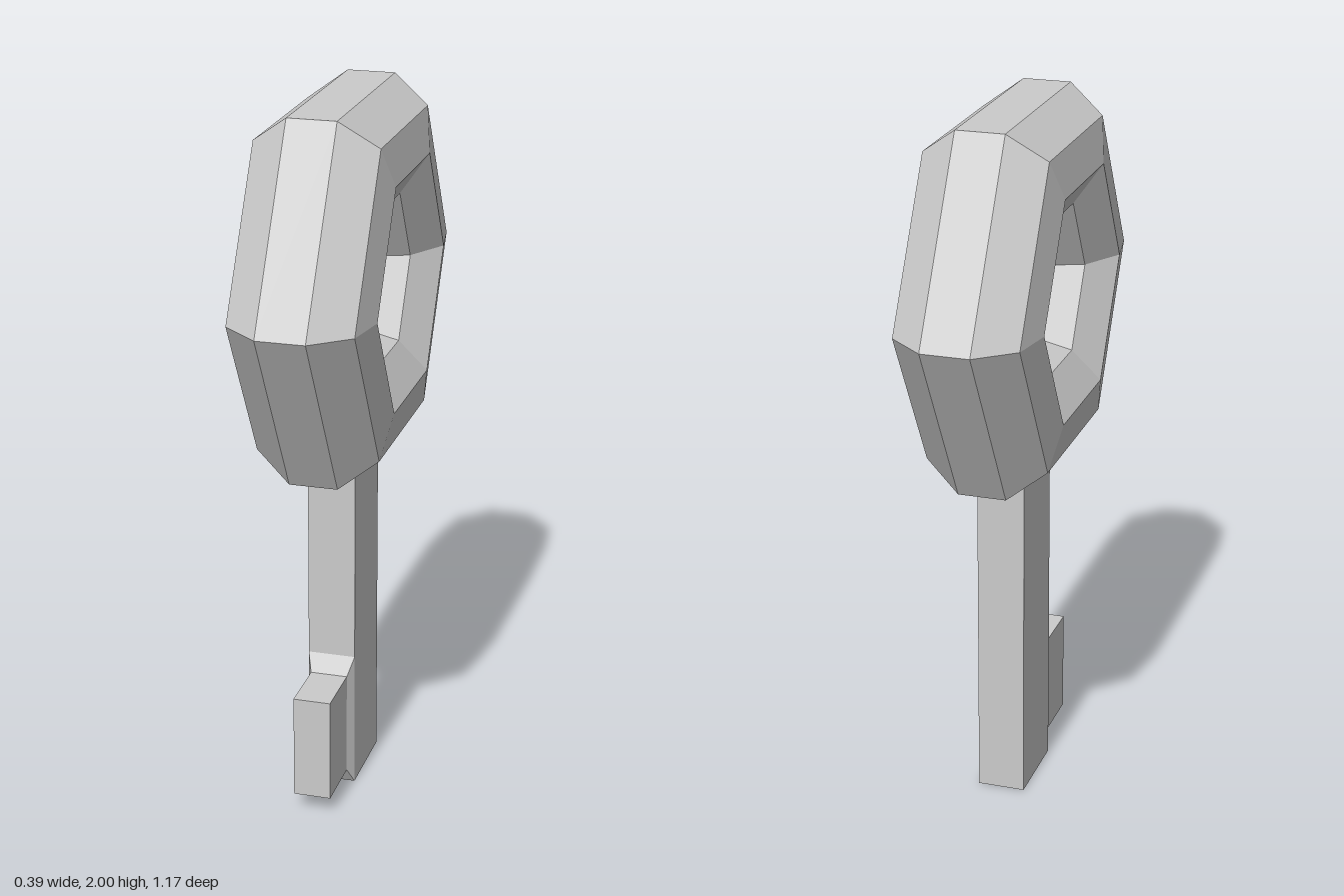
import * as THREE from 'three';

const material = new THREE.MeshStandardMaterial({ color: 0xcccccc, flatShading: true });

function addPart(group, name, geometry) {
  const mesh = new THREE.Mesh(geometry, material);
  mesh.name = name;
  group.add(mesh);
  return mesh;
}

// Joins rectangles [z, halfWidth, bottom, top] along +z and caps the last one
function loftRectangles(sections) {
  const positions = [];
  const indices = [];
  for (const [z, w, y0, y1] of sections) {
    positions.push(-w, y0, z, w, y0, z, w, y1, z, -w, y1, z);
  }
  for (let s = 0; s < sections.length - 1; s++) {
    for (let i = 0; i < 4; i++) {
      const a = s * 4 + i;
      const b = s * 4 + (i + 1) % 4;
      indices.push(a, b, b + 4, a, b + 4, a + 4);
    }
  }
  const e = (sections.length - 1) * 4;
  indices.push(e, e + 1, e + 2, e, e + 2, e + 3);
  const geometry = new THREE.BufferGeometry();
  geometry.setAttribute('position', new THREE.Float32BufferAttribute(positions, 3));
  geometry.setIndex(indices);
  const flat = geometry.toNonIndexed();
  flat.computeVertexNormals();
  return flat;
}

export function createModel() {
  const group = new THREE.Group();
  group.name = 'key';

  // Bow: hexagonal ring with a nine-sided section, flat on the outside
  const ringRadius = 0.398, tube = 0.199, sides = 9;
  const profile = [];
  for (let i = 0; i <= sides; i++) {
    const a = ((i - 0.5) / sides) * Math.PI * 2;
    profile.push(new THREE.Vector2(ringRadius + tube * Math.cos(a), tube * Math.sin(a)));
  }
  const bow = addPart(group, 'bow', new THREE.LatheGeometry(profile, 6).rotateZ(Math.PI / 2));
  bow.position.y = 1.493;

  // Shaft: runs up into the bottom of the bow
  const shaft = addPart(group, 'shaft', new THREE.BoxGeometry(0.136, 1, 0.245));
  shaft.position.set(0, 0.5, -0.0075);

  // Bit: tooth on the front, with a sloping collar at its root
  addPart(group, 'bit', loftRectangles([
    [0.115, 0.068, 0, 0.4],
    [0.145, 0.053, 0.05, 0.35],
    [0.318, 0.053, 0.05, 0.35],
  ]));

  return group;
}
